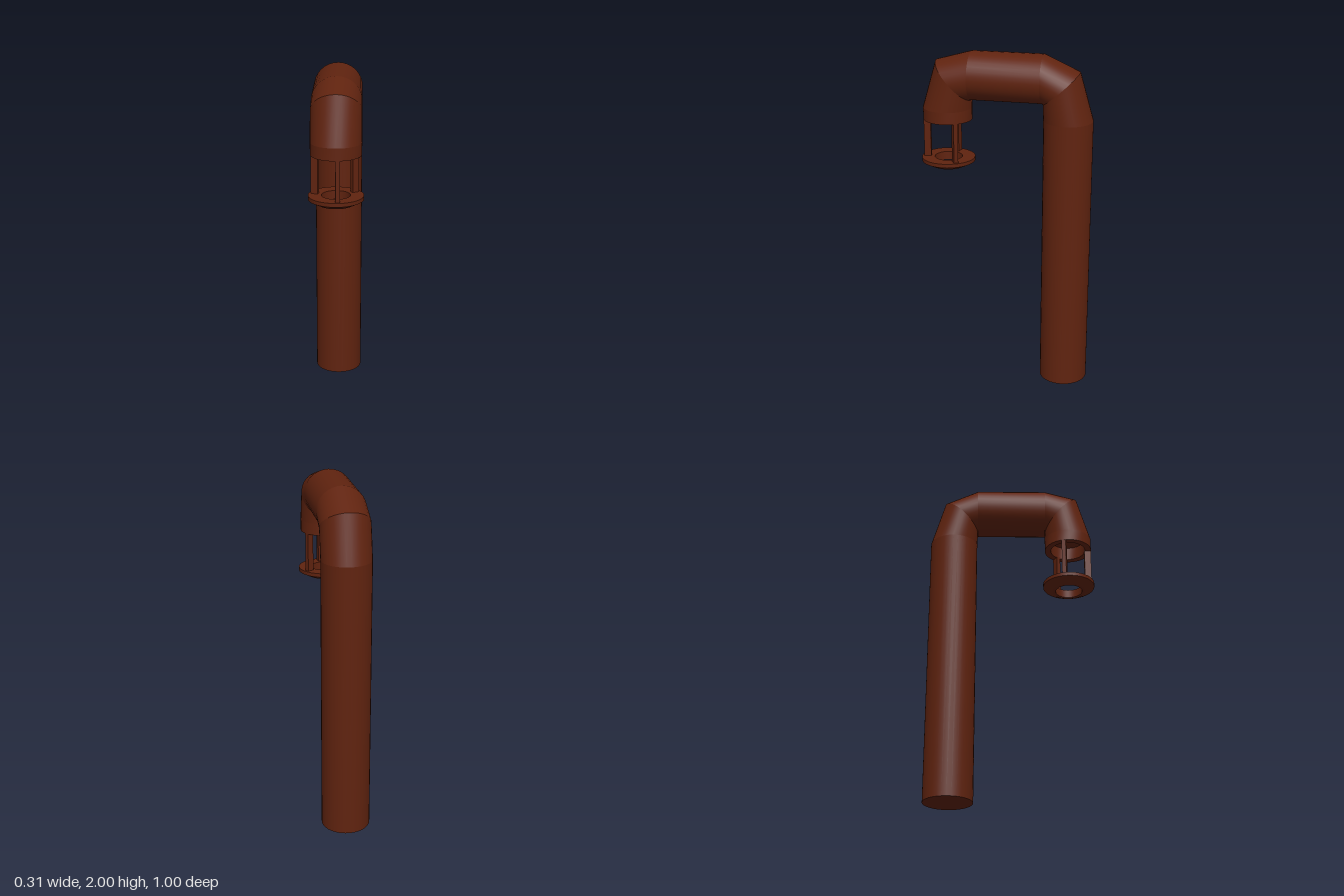
import * as THREE from 'three';

const SIDES = 32;
const R = 0.142;

// Skin between two tilted rings; each ring is [outerZ, outerY, innerZ, innerY, halfWidth]
function pipeSection(a, b) {
  const pos = [], index = [];
  for (const [oz, oy, iz, iy, w] of [a, b]) {
    for (let i = 0; i < SIDES; i++) {
      const t = (i / SIDES) * Math.PI * 2, c = Math.cos(t) / 2;
      pos.push(w * Math.sin(t), (oy + iy) / 2 + (oy - iy) * c, (oz + iz) / 2 + (oz - iz) * c);
    }
  }
  for (let i = 0; i < SIDES; i++) {
    const j = (i + 1) % SIDES;
    index.push(i, i + SIDES, j, j, i + SIDES, j + SIDES);
  }
  const g = new THREE.BufferGeometry();
  g.setAttribute('position', new THREE.Float32BufferAttribute(pos, 3));
  g.setIndex(index);
  g.computeVertexNormals();
  return g;
}

export function createModel() {
  const model = new THREE.Group();
  const rust = new THREE.MeshStandardMaterial({ color: 0x60230f });
  rust.name = 'rust brown';
  const add = (name, geometry, parent = model) => {
    const mesh = new THREE.Mesh(geometry, rust);
    mesh.name = name;
    parent.add(mesh);
    return mesh;
  };

  // Bent pipe: up the post, over the top and down to a hollow mouth
  const postZ = -0.358, headZ = 0.343;
  const flat = (z, y, r, dir) => [z + dir * r, y, z - dir * r, y, r];
  const rings = [
    flat(postZ, 0, 0.0001, -1),
    flat(postZ, 0, R, -1),
    flat(postZ, 1.63, R, -1),
    [-0.42, 1.905, -0.213, 1.718, R],
    [-0.212, 2, -0.212, 1.72, R],
    [0.2, 2, 0.2, 1.72, R],
    [0.405, 1.942, 0.201, 1.718, R],
    [0.485, 1.67, 0.201, 1.67, R],
    flat(headZ, 1.6, R, 1),
    flat(headZ, 1.6, 0.105, 1),
    flat(headZ, 1.68, 0.105, 1),
    flat(headZ, 1.68, 0.0001, 1),
  ];
  const names = ['postBase', 'post', 'rearBendLower', 'rearBendUpper', 'topPipe', 'frontBendUpper',
    'frontBendLower', 'mouthPipe', 'mouthLip', 'mouthWall', 'mouthCap'];
  names.forEach((name, i) => add(name, pipeSection(rings[i], rings[i + 1])));

  // Hanging cage below the mouth
  const cage = new THREE.Group();
  cage.name = 'cage';
  cage.position.z = headZ;
  model.add(cage);

  // Three flat struts, long side pointing outward
  for (const degrees of [85, -32, -166]) {
    const a = THREE.MathUtils.degToRad(degrees);
    const strut = add('strut', new THREE.BoxGeometry(0.04, 0.25, 0.025), cage);
    strut.position.set(Math.cos(a) * 0.121, 1.48, Math.sin(a) * 0.121);
    strut.rotation.y = -a;
  }

  // Ring with a chamfered underside; each profile edge is its own band for crisp corners
  const profile = [[0.08, 1.32], [0.1, 1.32], [0.155, 1.348], [0.155, 1.37], [0.08, 1.37], [0.08, 1.32]]
    .map(([r, y]) => new THREE.Vector2(r, y));
  for (let i = 0; i < profile.length - 1; i++) {
    add('cageRing', new THREE.LatheGeometry([profile[i], profile[i + 1]], 40), cage);
  }
  return model;
}
